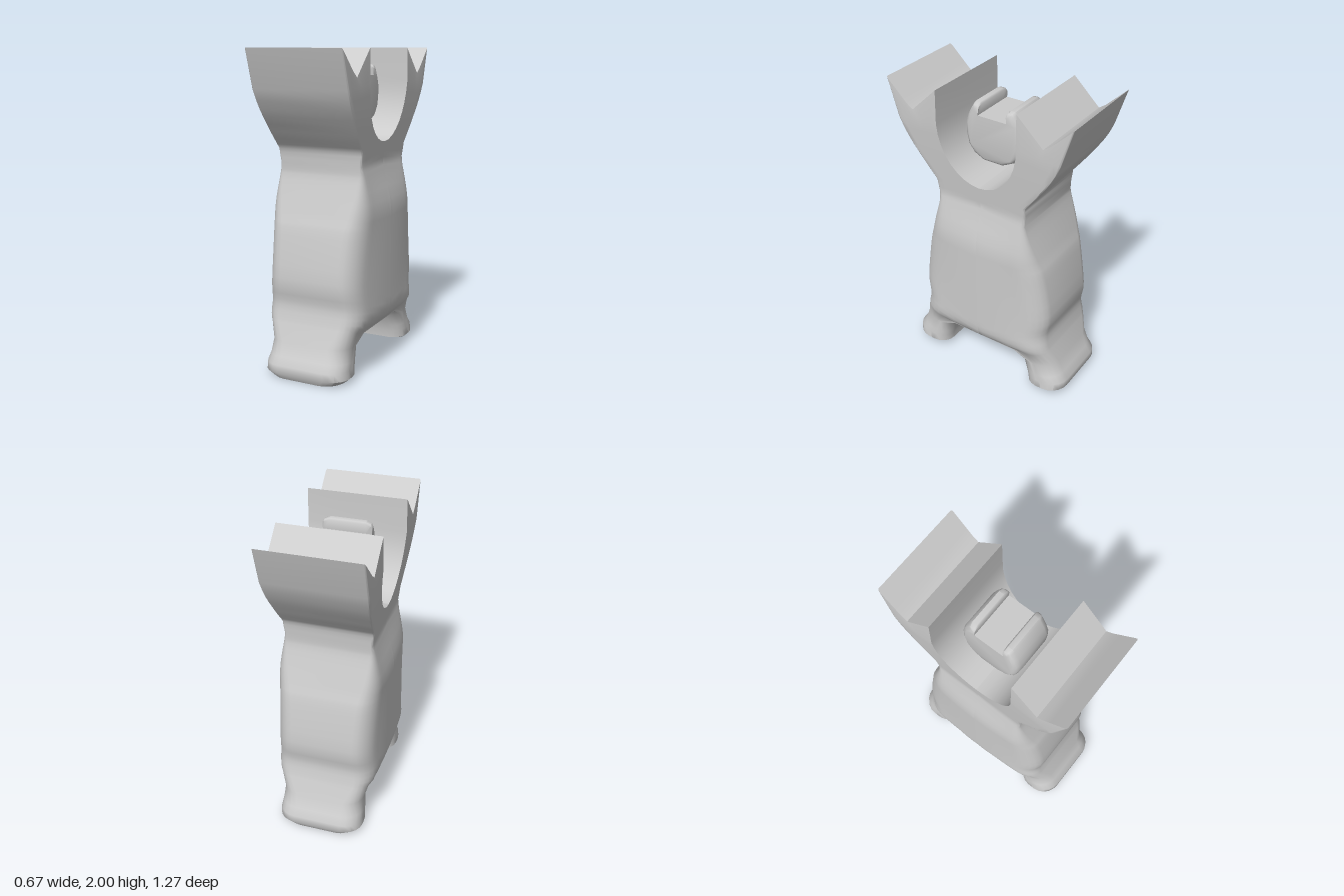
import * as THREE from 'three';
import { toCreasedNormals } from 'three/addons/utils/BufferGeometryUtils.js';

const { lerp, clamp, smoothstep } = THREE.MathUtils;
const material = new THREE.MeshStandardMaterial({ color: 0xcccccc });
const spline = (points) => new THREE.SplineCurve(points.map(([z, y]) => new THREE.Vector2(z, y)));

// half width (x) of the body by height: [y, halfWidth]
const WIDTHS = [[0, 0.24], [0.035, 0.278], [0.2, 0.265], [0.26, 0.265], [0.32, 0.322], [0.37, 0.337],
  [1.02, 0.337], [1.1, 0.325], [1.2, 0.297], [1.3, 0.277], [1.6, 0.305], [1.8, 0.32], [2, 0.315]];

// leg rows from the sole up: [outer z, outer y, inner z, inner y]
const LEG = [[0.57, 0, 0.365, 0.015], [0.592, 0.04, 0.325, 0.03], [0.592, 0.09, 0.32, 0.08],
  [0.557, 0.135, 0.308, 0.12], [0.525, 0.22, 0.28, 0.2], [0.482, 0.33, 0.24, 0.254]];

const TORSO = spline([[0.477, 0.345], [0.458, 0.45], [0.477, 0.6], [0.43, 0.89], [0.393, 1], [0.323, 1.21],
  [0.315, 1.29], [0.32, 1.39]]);
const ARM = spline([[0.32, 1.39], [0.43, 1.535], [0.545, 1.72], [0.635, 2]]);
const NOTCH = 0.17; // depth of the V cut in each arm tip

function halfWidth(y, z) {
  const i = clamp(WIDTHS.findIndex((w) => w[0] >= y), 1, WIDTHS.length - 1);
  const [y0, w0] = WIDTHS[i - 1], [y1, w1] = WIDTHS[i];
  const w = lerp(w0, w1, clamp((y - y0) / (y1 - y0), 0, 1));
  // the torso narrows a little toward its front and back
  const t = clamp((y - 0.27) / 0.9, 0, 1);
  return w * (1 - 0.6 * z * z * Math.sqrt(Math.max(0, Math.sin(Math.PI * t))));
}

// all rows of one body half, in the same form as the leg rows
function bodyRows() {
  const rows = [...LEG];
  for (let i = 0; i <= 24; i++) {
    const p = TORSO.getPoint(i / 24);
    rows.push([p.x, p.y, 0, lerp(0.255, 1.43, (p.y - 0.345) / 1.045)]);
  }
  for (let i = 1; i <= 8; i++) { // the inner side follows a half ellipse
    const p = ARM.getPoint(i / 8 * 0.72), a = i / 8 * Math.PI / 2;
    rows.push([p.x, p.y, 0.277 * Math.sin(a), 1.79 - 0.36 * Math.cos(a)]);
  }
  rows.push([0.635, 2, 0.277, 2]);
  return rows;
}

// one ring: along +x from the inner to the outer side, then back along -x
function ring([zo, yo, zi, yi], isTip) {
  const sharp = smoothstep(yo, 0.9, 1.38); // corners tighten toward the arms
  const foot = 1 - smoothstep(yo, 0.1, 0.35); // and round off at the feet
  const rz = lerp(0.13, 0.012, sharp) - 0.01 * foot, rx = lerp(0.095, 0.01, sharp) + 0.025 * foot;
  const ri = yi < 0.25 ? 0.09 : 0;
  const z0 = zi + ri, z1 = zo - rz;
  const plan = []; // [z, inset in x]
  for (let i = 0; i < 4; i++) {
    const a = i / 4 * Math.PI / 2;
    plan.push([zi + ri * (1 - Math.cos(a)), ri * (1 - Math.sin(a))]);
  }
  for (let i = 0; i < 8; i++) plan.push([lerp(z0, z1, i / 8), 0]);
  for (let i = 0; i <= 5; i++) {
    const a = i / 5 * Math.PI / 2;
    plan.push([z1 + rz * Math.sin(a), rx * (1 - Math.cos(a))]);
  }
  const half = plan.map(([z, inset]) => {
    const t = (z - zi) / (zo - zi), y = lerp(yi, yo, t);
    const cut = isTip ? NOTCH * (1 - Math.abs(2 * t - 1)) : 0;
    return [halfWidth(y, z) - inset, y - cut, z];
  });
  return half.concat(half.map(([x, y, z]) => [-x, y, z]).reverse());
}

// half of the body: foot, half torso and forked arm in one skin
function bodyHalf() {
  const rows = bodyRows();
  const rings = rows.map((row, j) => ring(row, j === rows.length - 1));
  const n = rings[0].length, last = (rings.length - 1) * n, index = [];
  for (let j = 0; j < rings.length - 1; j++) {
    for (let k = 0; k < n; k++) {
      const a = j * n + k, b = j * n + (k + 1) % n, c = b + n, d = a + n;
      index.push(a, d, c, a, c, b);
    }
  }
  for (let k = 0; k < n / 2 - 1; k++) { // sole and notched tip
    const a = k, b = k + 1, c = n - 2 - k, d = n - 1 - k;
    index.push(a, c, d, a, b, c);
    index.push(last + a, last + d, last + c, last + a, last + c, last + b);
  }
  const geometry = new THREE.BufferGeometry();
  geometry.setAttribute('position', new THREE.Float32BufferAttribute(rings.flat(2), 3));
  geometry.setIndex(index);
  return toCreasedNormals(geometry, 0.9);
}

// rounded head with a square slot between two ridges
function headGeometry() {
  const side = [[0.1, 1.83], [0.096, 1.89], [0.105, 1.9], [0.138, 1.9], [0.15, 1.885], [0.178, 1.83],
    [0.197, 1.77], [0.196, 1.69], [0.178, 1.62], [0.14, 1.57], [0.07, 1.535]];
  const outline = [...side, ...side.map(([z, y]) => [-z, y]).reverse()];
  const shape = new THREE.Shape(outline.map(([z, y]) => new THREE.Vector2(z, y)));
  const geometry = new THREE.ExtrudeGeometry(shape, { depth: 5, steps: 5, bevelEnabled: false });
  const layerX = [-0.155, -0.145, -0.115, 0.115, 0.145, 0.155], p = geometry.attributes.position;
  const layerScale = [0.87, 0.95, 1, 1, 0.95, 0.87];
  for (let i = 0; i < p.count; i++) {
    const layer = Math.round(p.getZ(i)), z = p.getX(i), y = p.getY(i) - 1.72;
    // the rim shrinks toward each end, the slot walls and floor stay straight
    const k = Math.hypot(z, y) > 0.165 ? layerScale[layer] : 1;
    const inSlot = y > 0 && Math.abs(z) < 0.12;
    p.setXYZ(i, inSlot ? z : z * k, 1.72 + y * k, layerX[layer]);
  }
  geometry.rotateY(Math.PI / 2);
  return toCreasedNormals(geometry, 0.85);
}

export function createModel() {
  const model = new THREE.Group();
  model.name = 'figure';
  const half = bodyHalf();
  ['frontBody', 'backBody'].forEach((name, i) => {
    const mesh = new THREE.Mesh(half, material);
    mesh.name = name;
    mesh.rotation.y = i * Math.PI;
    model.add(mesh);
  });
  const head = new THREE.Mesh(headGeometry(), material);
  head.name = 'head';
  head.position.set(0.005, 0, -0.008);
  model.add(head);
  return model;
}
